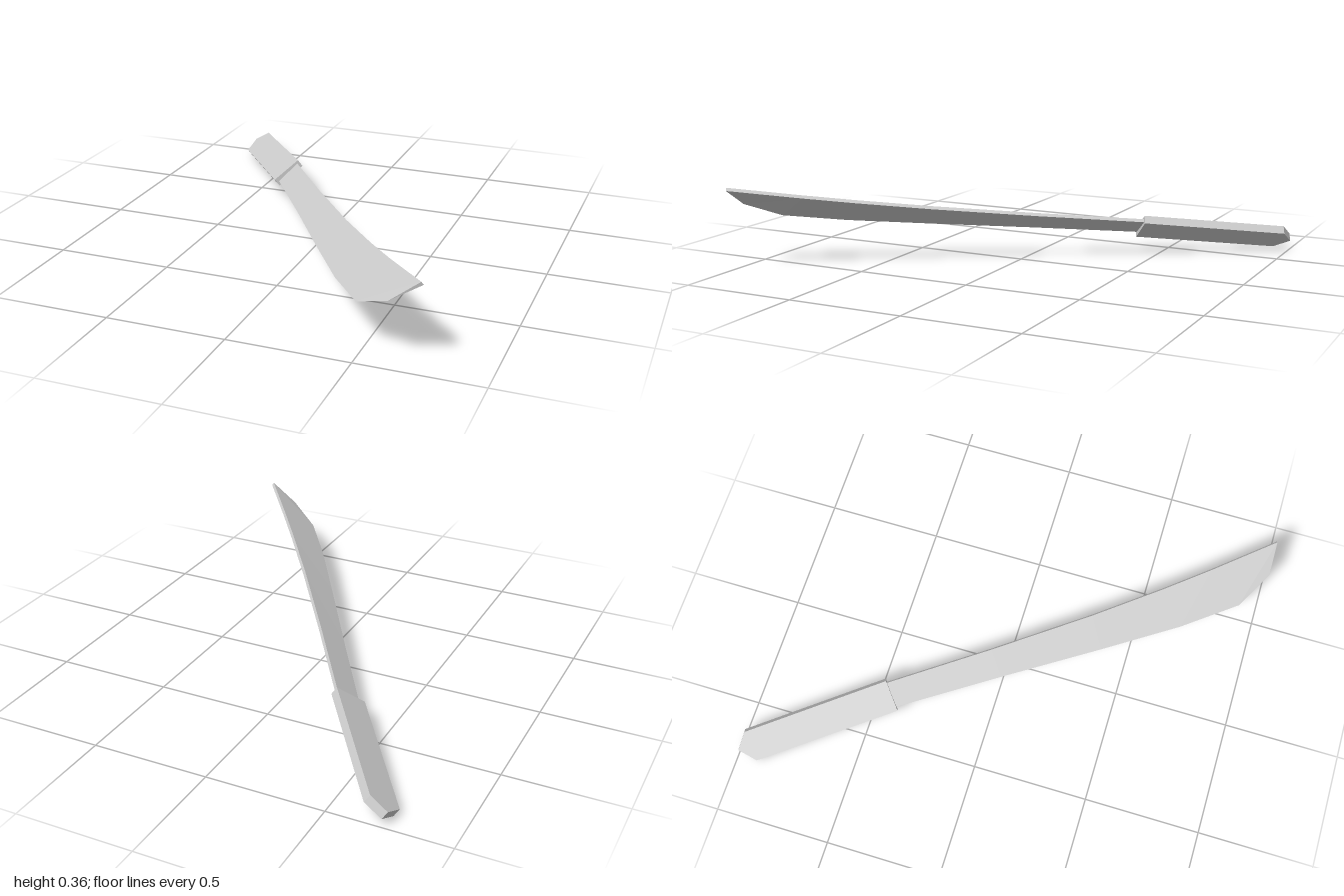
import * as THREE from 'three';

const material = new THREE.MeshStandardMaterial({ color: 0xcccccc, flatShading: true });
const MID = 0.157; // shared centre plane of blade and handle

// Blade: wedge sections, thick at the spine and sharp at the cutting edge
function createBlade() {
  // [spine along, spine height, edge along, edge height]
  const stations = [
    [-0.56, 0.155, -0.56, 0.037],
    [-0.05, 0.136, -0.05, 0.002],
    [0.41, 0.127, 0.4, -0.034],
    [0.74, 0.131, 0.761, -0.059],
    [0.96, 0.139, 1.037, -0.057],
    [1.272, 0.157, 1.201, 0.028],
  ];
  const half = 0.0075;
  const points = [];
  const index = [];
  stations.forEach(([sa, sb, ea, eb]) => {
    points.push(sa, sb, MID + half, sa, sb, MID - half, ea, eb, MID);
  });
  for (let i = 0; i < stations.length - 1; i++) {
    for (let j = 0; j < 3; j++) {
      const a = i * 3 + j, b = i * 3 + (j + 1) % 3;
      index.push(a, b + 3, b, a, a + 3, b + 3);
    }
  }
  const last = (stations.length - 1) * 3;
  index.push(0, 1, 2, last + 2, last + 1, last);

  const indexed = new THREE.BufferGeometry();
  indexed.setAttribute('position', new THREE.Float32BufferAttribute(points, 3));
  indexed.setIndex(index);
  const geometry = indexed.toNonIndexed();
  geometry.computeVertexNormals();
  const mesh = new THREE.Mesh(geometry, material);
  mesh.name = 'blade';
  return mesh;
}

// Handle: flat grip with a pointed butt
function createHandle() {
  const outline = [
    [-0.523, 0.022], [-0.523, 0.166], [-1.169, 0.165], [-1.224, 0.097], [-1.169, 0.025],
  ].map(([x, y]) => new THREE.Vector2(x, y));
  const depth = 0.037;
  const geometry = new THREE.ExtrudeGeometry(new THREE.Shape(outline), { depth, bevelEnabled: false });
  geometry.translate(0, 0, MID - depth / 2);
  const mesh = new THREE.Mesh(geometry, material);
  mesh.name = 'handle';
  return mesh;
}

export function createModel() {
  const model = new THREE.Group();
  model.name = 'machete';

  // Local x runs along the blade, y towards the spine, z out of the broad side
  const broad = new THREE.Vector3(-0.53, 0.8, 0.275).normalize();
  const along = new THREE.Vector3(0.581, 0.104, 0.807).projectOnPlane(broad).normalize();
  const spine = new THREE.Vector3().crossVectors(broad, along);

  const machete = new THREE.Group();
  machete.name = 'tiltedBody';
  machete.add(createBlade(), createHandle());
  machete.quaternion.setFromRotationMatrix(new THREE.Matrix4().makeBasis(along, spine, broad));
  model.add(machete);

  // Centre on x and z, stand on the ground
  model.updateMatrixWorld(true);
  const box = new THREE.Box3().setFromObject(model, true);
  const centre = box.getCenter(new THREE.Vector3());
  machete.position.set(-centre.x, -box.min.y, -centre.z);
  return model;
}
